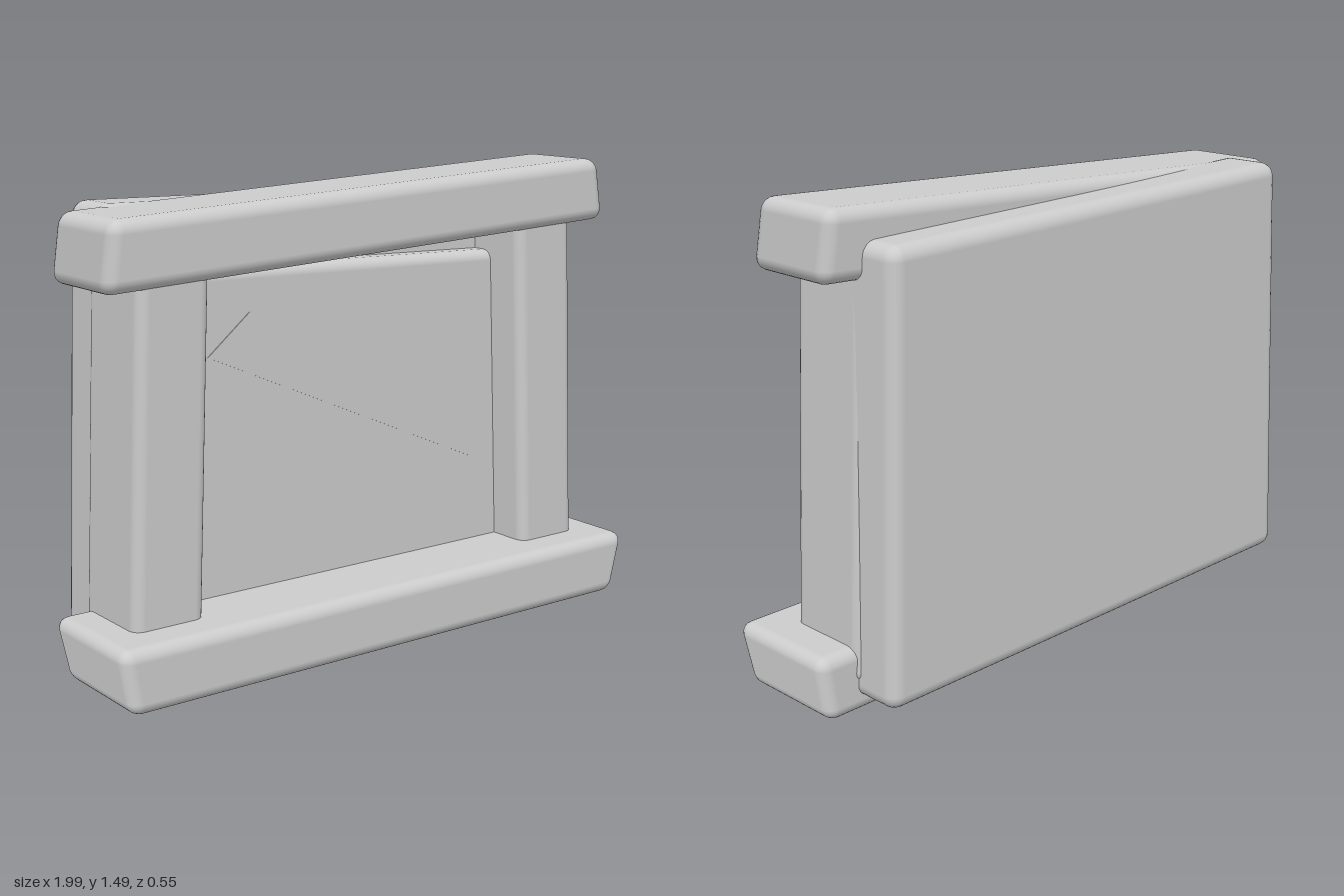
import * as THREE from 'three';
import { RoundedBoxGeometry } from 'three/addons/geometries/RoundedBoxGeometry.js';

const lightGrey = new THREE.MeshStandardMaterial({ color: 0xcccccc });
lightGrey.name = 'lightGrey';

// Rounded block warped so its front outline becomes the four corners [bl, br, tr, tl]
function crookedBlock(name, [bl, br, tr, tl], zBack, zFront, radius, pinch = 0) {
  const w = (br[0] - bl[0] + tr[0] - tl[0]) / 2;
  const h = (tl[1] - bl[1] + tr[1] - br[1]) / 2;
  const d = zFront - zBack;
  const geo = new RoundedBoxGeometry(w, h, d, 3, radius);
  const p = geo.attributes.position;
  for (let i = 0; i < p.count; i++) {
    const u = p.getX(i) / w + 0.5, v = p.getY(i) / h + 0.5;
    const mix = (k) => (1 - v) * ((1 - u) * bl[k] + u * br[k]) + v * ((1 - u) * tl[k] + u * tr[k]);
    const z = p.getZ(i) * (1 - pinch * (1 - v));
    p.setXYZ(i, mix(0), mix(1), z + (zFront + zBack) / 2);
  }
  const mesh = new THREE.Mesh(geo, lightGrey);
  mesh.name = name;
  return mesh;
}

export function createModel() {
  const group = new THREE.Group();
  group.name = 'crookedWindow';

  // Sill and lintel
  group.add(crookedBlock('sill',
    [[-0.96, 0.03], [0.96, 0], [1, 0.21], [-1, 0.235]], -0.13, 0.275, 0.04, 0.06));
  group.add(crookedBlock('lintel',
    [[-0.96, 1.21], [0.955, 1.285], [0.92, 1.488], [-0.93, 1.415]], -0.148, 0.175, 0.04));

  // Side posts, running into the sill and lintel
  group.add(crookedBlock('rightPost',
    [[-0.89, 0.1], [-0.65, 0.1], [-0.597, 1.32], [-0.833, 1.32]], -0.14, 0.15, 0.035));
  group.add(crookedBlock('leftPost',
    [[0.635, 0.1], [0.875, 0.1], [0.815, 1.36], [0.58, 1.36]], -0.14, 0.15, 0.035));

  // Backing panel
  group.add(crookedBlock('backPanel',
    [[-0.88, 0.08], [0.86, 0.05], [0.815, 1.39], [-0.82, 1.43]], -0.275, -0.065, 0.045));

  // Window pane
  group.add(crookedBlock('pane',
    [[-0.75, 0.17], [0.75, 0.15], [0.7, 1.19], [-0.7, 1.235]], -0.12, 0.01, 0.035));

  // Diagonal glint on the pane
  const glintShape = new THREE.Shape([[-0.53, 0.97], [0.5, 0.51], [0.5, 0.63], [-0.38, 1.09]]
    .map(([x, y]) => new THREE.Vector2(x, y)));
  const glint = new THREE.Mesh(
    new THREE.ExtrudeGeometry(glintShape, { depth: 0.006, bevelEnabled: false }), lightGrey);
  glint.position.z = 0.007;
  glint.name = 'glint';
  group.add(glint);

  return group;
}
